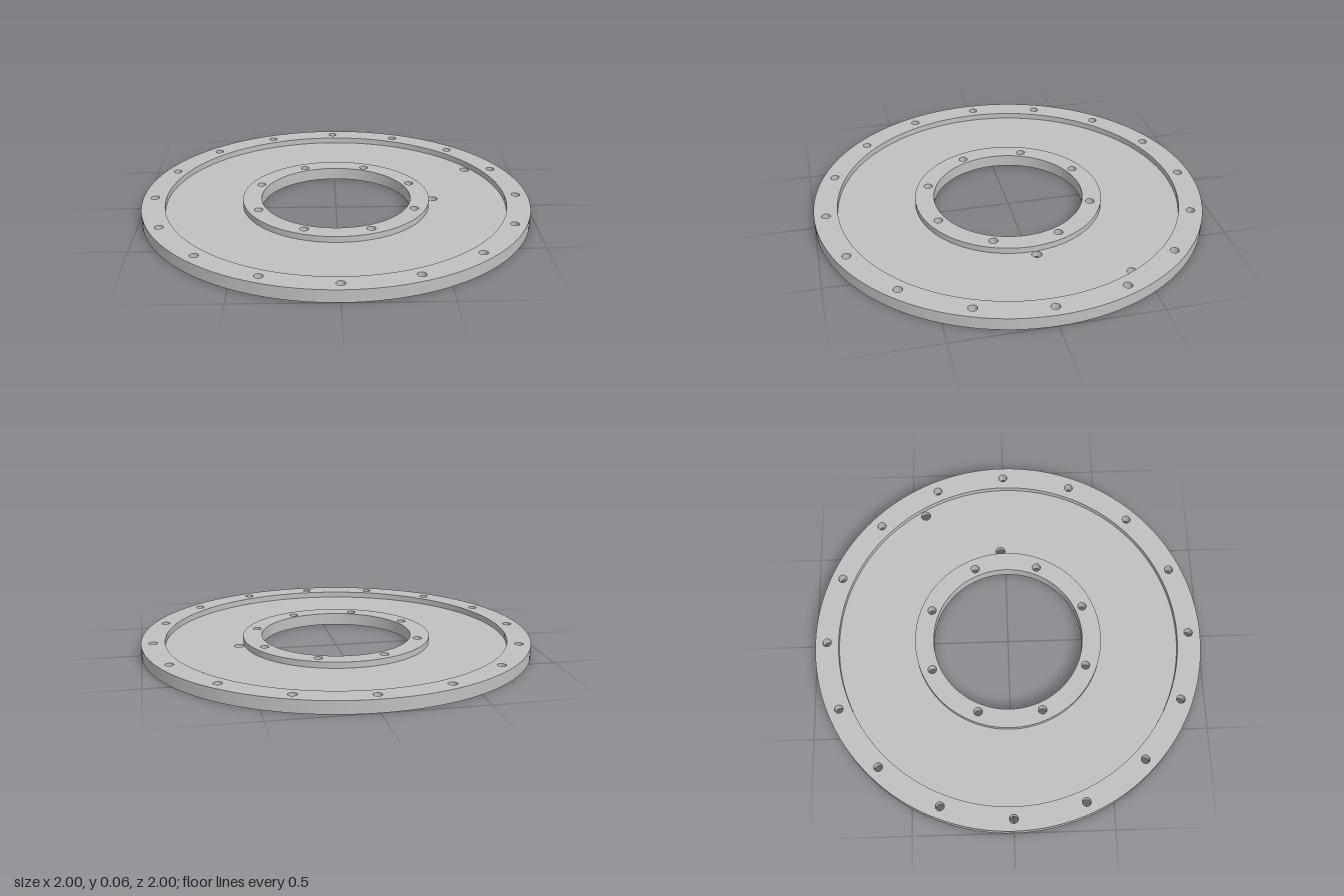
import * as THREE from 'three';

const TOP = 0.063, FLOOR = 0.032;
const R = { outer: 1, recess: 0.88, hub: 0.483, bore: 0.386 };
const BIG = 128, SMALL = 24;

// holes as [x, z, radius]
function boltCircle(count, radius, offset) {
  return Array.from({ length: count }, (_, i) => {
    const a = offset + (i / count) * Math.PI * 2;
    return [radius * Math.cos(a), radius * Math.sin(a), 0.022];
  });
}
const rimHoles = boltCircle(16, 0.94, 0);
const hubHoles = boltCircle(8, 0.427, Math.PI / 8);
const drainHoles = [[0.735, -0.428, 0.025], [0.5085, -0.025, 0.025]];

function circle(r, segments, x = 0, y = 0) {
  return Array.from({ length: segments }, (_, i) => {
    const a = (i / segments) * Math.PI * 2;
    return new THREE.Vector2(x + r * Math.cos(a), y + r * Math.sin(a));
  });
}

// flat annulus with holes, facing up or down
function annulus(rOut, rIn, y, holes, up = true) {
  const s = up ? -1 : 1;
  const shape = new THREE.Shape(circle(rOut, BIG));
  shape.holes.push(new THREE.Path(circle(rIn, BIG)));
  for (const [x, z, r] of holes) shape.holes.push(new THREE.Path(circle(r, SMALL, x, s * z)));
  return new THREE.ShapeGeometry(shape).rotateX(s * Math.PI / 2).translate(0, y, 0);
}

// open cylindrical wall; inward walls face their own axis
function wall(r, y0, y1, inward, segments = BIG, x = 0, z = 0) {
  const g = new THREE.CylinderGeometry(r, r, y1 - y0, segments, 1, true);
  if (inward) {
    g.index.array.reverse();
    const n = g.attributes.normal;
    for (let i = 0; i < n.count; i++) n.setXYZ(i, -n.getX(i), 0, -n.getZ(i));
  }
  return g.translate(x, (y0 + y1) / 2, z);
}

export function createModel() {
  const group = new THREE.Group();
  group.name = 'flangePlate';
  const metal = new THREE.MeshStandardMaterial({ color: 0xc0c0c0 });
  metal.name = 'plain grey metal';

  const add = (name, geometry) => {
    const mesh = new THREE.Mesh(geometry, metal);
    mesh.name = name;
    group.add(mesh);
  };

  // flat faces
  add('underside', annulus(R.outer, R.bore, 0, [...rimHoles, ...hubHoles, ...drainHoles], false));
  add('rimTop', annulus(R.outer, R.recess, TOP, rimHoles));
  add('recessFloor', annulus(R.recess, R.hub, FLOOR, drainHoles));
  add('hubTop', annulus(R.hub, R.bore, TOP, hubHoles));

  // round walls
  add('outerEdge', wall(R.outer, 0, TOP, false));
  add('rimInnerWall', wall(R.recess, FLOOR, TOP, true));
  add('hubOuterWall', wall(R.hub, FLOOR, TOP, false));
  add('centreBore', wall(R.bore, 0, TOP, true));

  // hole walls
  const drill = (name, holes, height) =>
    holes.forEach(([x, z, r]) => add(name, wall(r, 0, height, true, SMALL, x, z)));
  drill('rimBoltHole', rimHoles, TOP);
  drill('hubBoltHole', hubHoles, TOP);
  drill('drainHole', drainHoles, FLOOR);

  return group;
}
